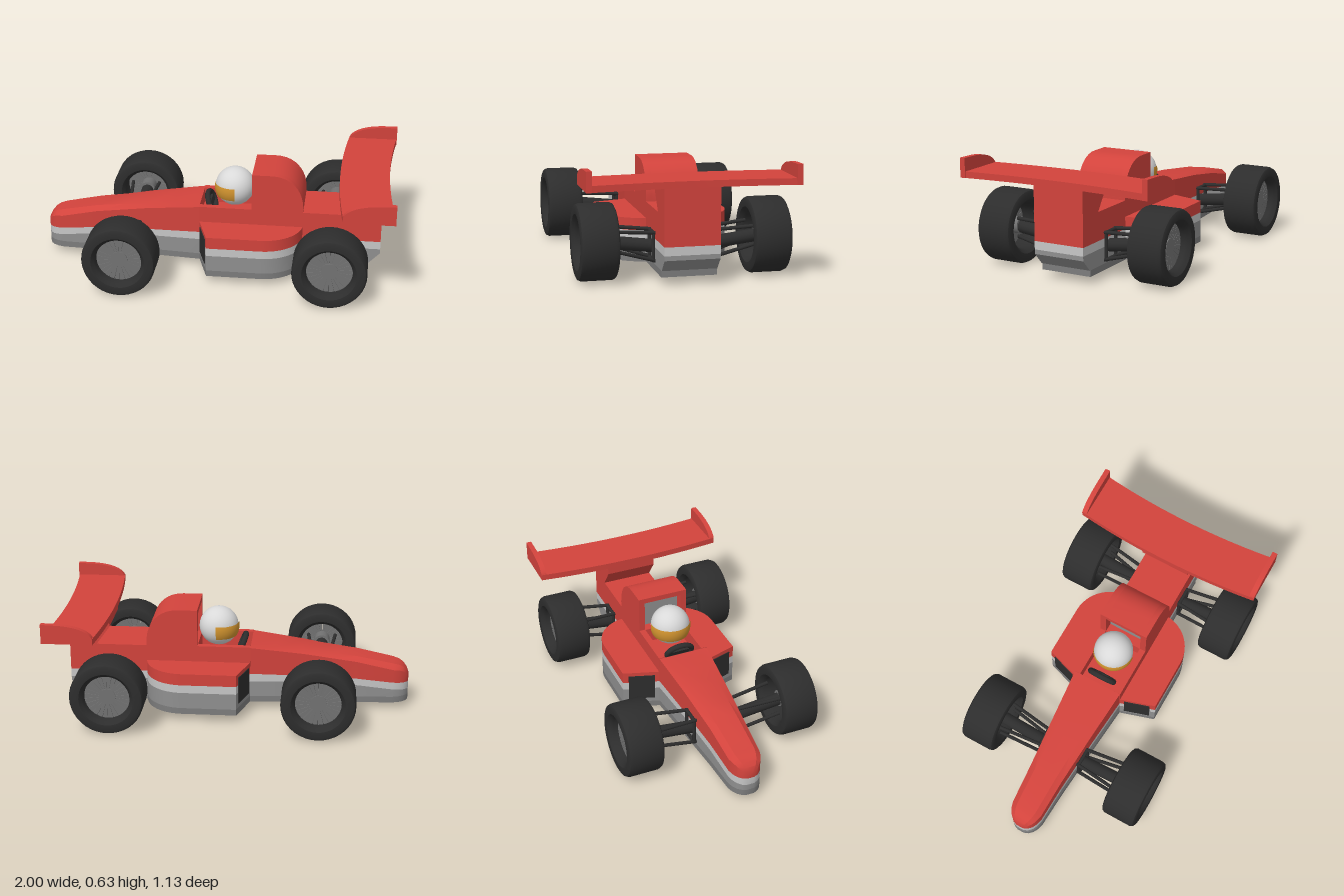
import * as THREE from 'three';
import { toCreasedNormals } from 'three/addons/utils/BufferGeometryUtils.js';

const mat = (name, color, side = THREE.FrontSide) => {
  const m = new THREE.MeshStandardMaterial({ color, side });
  m.name = name;
  return m;
};

export function createModel() {
  const car = new THREE.Group();
  car.name = 'racingCar';
  const red = mat('red paint', 0xd2433c);
  const grey = mat('grey paint', 0x8f8f8f);
  const floorGrey = mat('floor grey', 0x7c7c7c);
  const silver = mat('silver stripe', 0xc6c6c6);
  const black = mat('black rubber', 0x2d2d2d, THREE.DoubleSide);
  const rimGrey = mat('rim grey', 0x727272);
  const white = mat('helmet white', 0xd9d9d9);
  const amber = mat('amber visor', 0xd2942f);

  const add = (name, geo, material, parent = car) => {
    const m = new THREE.Mesh(geo, material);
    m.name = name;
    parent.add(m);
    return m;
  };
  const box = (name, material, x0, x1, y0, y1, z0, z1) =>
    add(name, new THREE.BoxGeometry(x1 - x0, y1 - y0, z1 - z0)
      .translate((x0 + x1) / 2, (y0 + y1) / 2, (z0 + z1) / 2), material);
  const polygon = pts => new THREE.Shape(pts.map(p => new THREE.Vector2(...p)));
  // side profile in x, y, extruded from z0 to z1
  const sideExtrude = (shape, z0, z1) => toCreasedNormals(
    new THREE.ExtrudeGeometry(shape, { depth: z1 - z0, bevelEnabled: false, curveSegments: 10 }).translate(0, 0, z0), 0.6);
  // plan outline in x, z, extruded from y0 to y1
  const planExtrude = (shape, y0, y1) => toCreasedNormals(
    new THREE.ExtrudeGeometry(shape, { depth: y1 - y0, bevelEnabled: false, curveSegments: 12 })
      .rotateX(Math.PI / 2).translate(0, y1, 0), 0.6);
  const rod = (name, a, b, r, material = black) => {
    const p = new THREE.Vector3(...a), q = new THREE.Vector3(...b);
    const m = add(name, new THREE.CylinderGeometry(r, r, p.distanceTo(q), 12), material);
    m.position.copy(p).lerp(q, 0.5);
    m.quaternion.setFromUnitVectors(new THREE.Vector3(0, 1, 0), q.sub(p).normalize());
  };
  const interp = table => x => {
    for (let i = 1; i < table.length; i++) {
      const [xa, ya] = table[i - 1], [xb, yb] = table[i];
      if (x <= xb) return ya + (yb - ya) * Math.max(0, (x - xa) / (xb - xa));
    }
    return table[table.length - 1][1];
  };

  // Body curves along its length
  const halfWidth = interp([[-1, 0.02], [-0.99, 0.045], [-0.97, 0.066], [-0.945, 0.08], [-0.91, 0.09],
    [-0.7, 0.1], [-0.4, 0.122], [-0.1, 0.146], [0.2, 0.148], [0.93, 0.148]]);
  const topLine = interp([[-1, 0.2], [-0.99, 0.225], [-0.97, 0.248], [-0.945, 0.263], [-0.91, 0.273],
    [-0.7, 0.315], [-0.4, 0.352], [-0.1, 0.375], [0.93, 0.375]]);
  const stripeLow = interp([[-1, 0.115], [-0.7, 0.15], [-0.4, 0.168], [-0.1, 0.172], [0.93, 0.172]]);
  const stripeHigh = interp([[-1, 0.158], [-0.7, 0.19], [-0.4, 0.207], [-0.1, 0.218], [0.93, 0.218]]);
  const greyLow = interp([[-1, 0.08], [0.865, 0.08], [0.93, 0.147]]);
  const crown = interp([[-1, 0.015], [-0.9, 0.03], [-0.4, 0.012], [-0.1, 0], [1, 0]]);
  const stations = [-1, -0.99, -0.97, -0.945, -0.91, -0.7, -0.55, -0.4, -0.25, -0.1, 0.2, 0.86, 0.865, 0.93];

  // Body layer lofted from cross-sections between two height curves
  const layer = (name, material, x0, x1, lo, hi, bulge = () => 0) => {
    const rings = stations.filter(x => x >= x0 && x <= x1).map(x => {
      const w = halfWidth(x), t = hi(x), c = bulge(x);
      return [[x, lo(x), -w], [x, lo(x), w], [x, t - c, w], [x, t, 0.65 * w], [x, t, -0.65 * w], [x, t - c, -w]];
    });
    const pos = [];
    const tri = (...pts) => pts.forEach(p => pos.push(...p));
    for (let s = 0; s < rings.length - 1; s++) for (let i = 0; i < 6; i++) {
      const j = (i + 1) % 6, a = rings[s][i], b = rings[s][j], c = rings[s + 1][j], d = rings[s + 1][i];
      tri(a, d, c);
      tri(a, c, b);
    }
    const first = rings[0], last = rings[rings.length - 1];
    for (let i = 1; i < 5; i++) {
      tri(first[0], first[i], first[i + 1]);
      tri(last[0], last[i + 1], last[i]);
    }
    const g = new THREE.BufferGeometry();
    g.setAttribute('position', new THREE.Float32BufferAttribute(pos, 3));
    add(name, toCreasedNormals(g, 0.5), material);
  };
  layer('floor', floorGrey, -1, 0.86, () => 0.045, () => 0.08);
  layer('lowerBody', grey, -1, 0.93, greyLow, stripeLow);
  layer('bodyStripe', silver, -1, 0.93, stripeLow, stripeHigh);
  layer('nose', red, -1, -0.1, stripeHigh, topLine, crown);
  layer('rearBody', red, 0.2, 0.93, stripeHigh, topLine);

  // Open cockpit
  for (const s of [-1, 1]) {
    const z = [s * 0.112, s * 0.148].sort((a, b) => a - b);
    box('cockpitWall', red, -0.1, 0.2, 0.218, 0.378, ...z);
  }
  box('cockpitFloor', red, -0.1, 0.2, 0.218, 0.29, -0.112, 0.112);

  // Engine cover with a recessed front
  const cover = front => {
    const s = new THREE.Shape();
    s.moveTo(front, 0.37);
    s.lineTo(0.49, 0.37);
    s.lineTo(0.49, 0.41);
    s.bezierCurveTo(0.485, 0.51, 0.42, 0.59, 0.31, 0.59);
    s.lineTo(0.2, 0.59);
    s.lineTo(0.2, 0.56);
    s.lineTo(front, 0.56);
    return s;
  };
  add('engineCoverCore', sideExtrude(cover(0.26), -0.112, 0.112), red);
  add('engineCoverSide', sideExtrude(cover(0.2), 0.112, 0.148), red);
  add('engineCoverSide', sideExtrude(cover(0.2), -0.148, -0.112), red);
  box('headrestPanel', grey, 0.253, 0.261, 0.376, 0.56, -0.112, 0.112);

  // Sidepods with dark intakes
  for (const s of [-1, 1]) {
    const plan = new THREE.Shape();
    plan.moveTo(-0.1, s * 0.14);
    plan.lineTo(-0.035, s * 0.345);
    plan.lineTo(0.27, s * 0.345);
    plan.bezierCurveTo(0.38, s * 0.345, 0.48, s * 0.26, 0.49, s * 0.14);
    for (const [name, m, y0, y1] of [['sidepodFloor', floorGrey, 0.045, 0.08], ['sidepodLower', grey, 0.08, 0.172],
      ['sidepodStripe', silver, 0.172, 0.218], ['sidepodTop', red, 0.218, 0.285]])
      add(name, planExtrude(plan, y0, y1), m);
    const intake = add('sidepodIntake', new THREE.BoxGeometry(0.008, 0.155, 0.15), black);
    intake.position.set(-0.068, 0.185, s * 0.243);
    intake.rotation.y = s * Math.atan2(0.065, 0.205);
  }

  // Rear wing
  add('wingPylon', sideExtrude(polygon([[0.7, 0.53], [0.7, 0.48], [0.78, 0.37], [0.93, 0.37], [0.93, 0.53]]), -0.148, 0.148), red);
  const wing = new THREE.Shape();
  wing.moveTo(0.72, -0.56);
  wing.lineTo(1, -0.56);
  wing.quadraticCurveTo(0.925, 0, 1, 0.56);
  wing.lineTo(0.72, 0.56);
  wing.quadraticCurveTo(0.65, 0, 0.72, -0.56);
  add('rearWing', planExtrude(wing, 0.527, 0.562), red);
  const plate = new THREE.Shape();
  plate.moveTo(0.72, 0.527);
  plate.lineTo(1, 0.527);
  plate.lineTo(1, 0.635);
  plate.lineTo(0.9, 0.632);
  plate.bezierCurveTo(0.8, 0.625, 0.74, 0.6, 0.72, 0.56);
  add('wingEndPlate', sideExtrude(plate, 0.531, 0.561), red);
  add('wingEndPlate', sideExtrude(plate, -0.561, -0.531), red);

  // Driver helmet, visor and steering wheel
  add('helmet', new THREE.SphereGeometry(0.112, 32, 24), white).position.set(0.09, 0.456, 0);
  add('visor', new THREE.SphereGeometry(0.117, 32, 8, -1.65, 3.3, 1.36, 0.68), amber).position.set(0.09, 0.456, 0);
  const steering = new THREE.Group();
  steering.name = 'steeringWheel';
  add('steeringRim', new THREE.TorusGeometry(0.075, 0.016, 10, 28), black, steering);
  add('steeringSpoke', new THREE.BoxGeometry(0.14, 0.04, 0.015), black, steering);
  steering.rotation.set(0, Math.PI / 2, 0);
  steering.rotateX(-0.4);
  steering.scale.y = 0.75;
  steering.position.set(-0.045, 0.352, 0);
  car.add(steering);

  // Wheels: lathed tyre, fanned spokes and hub
  const tyre = [[0.135, -0.085], [0.15, -0.1], [0.185, -0.102], [0.198, -0.096], [0.205, -0.08], [0.205, 0.08],
    [0.198, 0.096], [0.185, 0.102], [0.15, 0.1], [0.135, 0.085], [0.127, 0.07], [0.127, -0.07], [0.135, -0.085]];
  const tyreGeo = toCreasedNormals(new THREE.LatheGeometry(tyre.map(p => new THREE.Vector2(...p)), 40).rotateX(Math.PI / 2), 0.6);
  const spokeGeo = new THREE.ExtrudeGeometry(polygon([[0.04, -0.0045], [0.128, -0.0145], [0.128, 0.0145], [0.04, 0.0045]]),
    { depth: 0.02, bevelEnabled: false });
  const hubGeo = new THREE.CylinderGeometry(0.046, 0.046, 0.1, 24).rotateX(Math.PI / 2);
  for (const x of [-0.495, 0.66]) for (const s of [-1, 1]) {
    const wheel = new THREE.Group();
    wheel.name = x < 0 ? 'frontWheel' : 'rearWheel';
    add('tyre', tyreGeo, black, wheel);
    for (let i = 0; i < 26; i++) {
      const spoke = add('spoke', spokeGeo, rimGrey, wheel);
      spoke.rotation.z = i * Math.PI / 13;
      spoke.position.z = s * 0.035 - 0.01;
    }
    add('hub', hubGeo, rimGrey, wheel);
    wheel.position.set(x, 0.207, s * 0.461);
    car.add(wheel);

    // Axle, wishbones and brackets
    const inner = x < 0 ? 0.115 : 0.145;
    rod('axle', [x, 0.17, s * inner], [x, 0.205, s * 0.43], 0.036);
    for (const d of [-1, 1]) {
      const xi = x + d * 0.05, xo = x + d * 0.08;
      rod('upperArm', [xi, 0.25, s * inner], [xo, 0.27, s * 0.38], 0.01);
      rod('lowerArm', [xi, 0.1, s * inner], [xo, 0.17, s * 0.38], 0.01);
      rod('armBracket', [xi, 0.095, s * (inner + 0.012)], [xi, 0.255, s * (inner + 0.012)], 0.01);
    }
    for (const y of [0.1, 0.25])
      rod('armBracket', [x - 0.05, y, s * (inner + 0.012)], [x + 0.05, y, s * (inner + 0.012)], 0.01);
  }
  return car;
}
